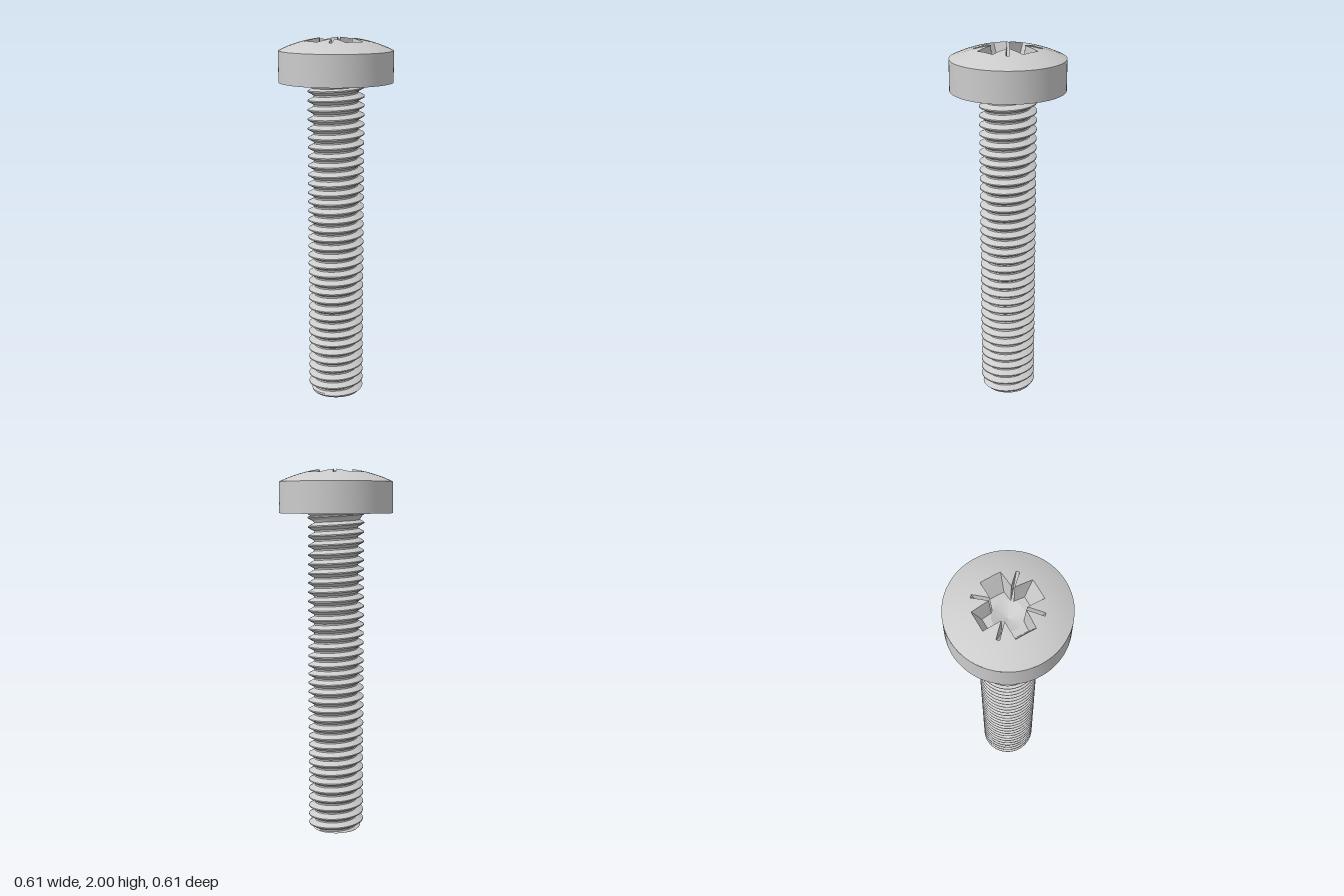
import * as THREE from 'three';
import { toCreasedNormals } from 'three/addons/utils/BufferGeometryUtils.js';

const HEAD_R = 0.307, HEAD_BOTTOM = 1.765, HEAD_RIM = 1.932, APEX = 2.003;
const DOME_R = (HEAD_R ** 2 + (APEX - HEAD_RIM) ** 2) / (2 * (APEX - HEAD_RIM));
const DOME_CY = APEX - DOME_R;
const domeY = (x, z) => DOME_CY + Math.sqrt(DOME_R ** 2 - x * x - z * z);

// Skin over closed rings; ring points run counter-clockwise seen from above
function skin(rings) {
  const n = rings[0].length, index = [];
  for (let j = 0; j < rings.length - 1; j++) {
    for (let i = 0; i < n; i++) {
      const a = j * n + i, b = j * n + (i + 1) % n;
      index.push(a, b, b + n, a, b + n, a + n);
    }
  }
  const geometry = new THREE.BufferGeometry();
  geometry.setAttribute('position', new THREE.Float32BufferAttribute(rings.flat(2), 3));
  geometry.setIndex(index);
  return geometry;
}

// Single-start right-hand thread, chamfered at the tip
function threadGeometry() {
  const pitch = 0.0505, root = 0.1205, crest = 0.153, tip = 0.13, top = 1.775, segs = 64;
  const profile = [[0, root], [0.165, root], [0.34, (root + crest) / 2],
    [0.52, crest], [0.645, crest], [0.82, (root + crest) / 2]];
  const rings = [];
  const turns = Math.ceil(top / pitch) + 1;
  for (let t = -1; t < turns; t++) {
    for (const [f, r0] of profile) {
      const ring = [];
      // the seam column is doubled because the helix climbs one pitch per turn
      for (let i = 0; i <= segs; i++) {
        const a = (i / segs) * Math.PI * 2;
        const y = THREE.MathUtils.clamp(pitch * (t + f + i / segs), 0, top);
        const r = y === 0 ? tip : Math.min(r0, tip + y);
        ring.push([r * Math.cos(a), y, -r * Math.sin(a)]);
      }
      rings.push(ring);
    }
  }
  const geometry = skin(rings);
  // drop the quads that would close the seam, since the helix already meets itself there
  const n = segs + 1;
  const src = Array.from(geometry.index.array), kept = [];
  for (let k = 0; k < src.length; k += 6) {
    if ((k / 6) % n !== segs) kept.push(...src.slice(k, k + 6));
  }
  geometry.setIndex(kept);
  return toCreasedNormals(geometry, 0.5);
}

// Rings of the cross recess: mouth, just below the mouth, floor
function recessRings() {
  const floorY = 1.865;
  // per corner: mouth x,z / below mouth x,z,depth share / floor x,z
  const half = [
    { m: [0.163, 0.054], k: [0.15, 0.0515, 0.25], f: [0.115, 0.044] },
    { m: [0.068, 0.057], k: [0.066, 0.0553, 0.25], f: [0.06, 0.05] },
    { m: [0.131, 0.119], k: [0.122, 0.111, 0.25], f: [0.058, 0.052] },
  ];
  const flip = ({ m, k, f }) => ({ m: [m[1], m[0]], k: [k[1], k[0], k[2]], f: [f[1], f[0]] });
  const corner = [...half, ...half.slice().reverse().map(flip)];
  const steps = [4, 3, 1, 3, 4, 8];
  const turn = ([x, z], q) => {
    const c = [1, 0, -1, 0][q], s = [0, 1, 0, -1][q];
    return [x * c - z * s, -(x * s + z * c)];
  };
  const keys = [];
  for (let q = 0; q < 4; q++) {
    for (const p of corner) {
      keys.push({ m: turn(p.m, q), k: turn(p.k, q), f: turn(p.f, q), d: p.k[2] });
    }
  }
  const mouth = [], below = [], floor = [];
  const mix = (a, b, t) => [a[0] + (b[0] - a[0]) * t, a[1] + (b[1] - a[1]) * t];
  keys.forEach((a, i) => {
    const b = keys[(i + 1) % keys.length], n = steps[i % 6];
    for (let s = 0; s < n; s++) {
      const t = s / n;
      const [mx, mz] = mix(a.m, b.m, t), [kx, kz] = mix(a.k, b.k, t), [fx, fz] = mix(a.f, b.f, t);
      const my = domeY(mx, mz);
      mouth.push([mx, my, mz]);
      below.push([kx, my + (floorY - my) * a.d, kz]);
      floor.push([fx, floorY, fz]);
    }
  });
  return { mouth, below, floor, floorY };
}

// Domed top between the head rim and the recess mouth
function domeGeometry(mouth) {
  const rings = [], rows = 8;
  for (let j = 0; j <= rows; j++) {
    const t = j / rows;
    rings.push(mouth.map(([x, , z]) => {
      const r = Math.hypot(x, z), s = (HEAD_R + (r - HEAD_R) * t) / r;
      return [x * s, domeY(x * s, z * s), z * s];
    }));
  }
  const geometry = skin(rings);
  const normals = rings.flat().flatMap(([x, y, z]) => [x / DOME_R, (y - DOME_CY) / DOME_R, z / DOME_R]);
  geometry.setAttribute('normal', new THREE.Float32BufferAttribute(normals, 3));
  return geometry;
}

export function createModel() {
  const group = new THREE.Group();
  const material = new THREE.MeshStandardMaterial({ color: 0xcccccc });
  const add = (name, geometry) => {
    const mesh = new THREE.Mesh(geometry, material);
    mesh.name = name;
    group.add(mesh);
    return mesh;
  };
  const lathe = (pts) => toCreasedNormals(
    new THREE.LatheGeometry(pts.map(([r, y]) => new THREE.Vector2(r, y)), 96), 0.6);

  // Threaded shank and its flat tip
  add('threadedShank', threadGeometry());
  add('shankTip', new THREE.CircleGeometry(0.13, 64).rotateX(Math.PI / 2));

  // Fillet under the head
  add('neckFillet', lathe([[0.12, 1.715], [0.131, 1.735], [0.141, 1.75], [0.152, 1.76], [0.166, 1.766]]));

  // Head: flat underside, straight side, domed top
  add('headSide', lathe([[0.1, HEAD_BOTTOM], [HEAD_R, HEAD_BOTTOM], [HEAD_R, HEAD_RIM]]));
  const { mouth, below, floor, floorY } = recessRings();
  add('headDome', domeGeometry(mouth));

  // Cross recess with four diagonal ribs and a conical centre
  const coneRim = floor.map(([x, , z]) => {
    const r = Math.hypot(x, z), s = Math.min(1, 0.08 / r);
    return [x * s, floorY, z * s];
  });
  const coneTip = floor.map(() => [0, floorY - 0.035, 0]);
  add('crossRecess', toCreasedNormals(skin([mouth, below, floor, coneRim]), 0.35));
  add('recessCone', toCreasedNormals(skin([coneRim, coneTip]), 0.5));

  return group;
}
